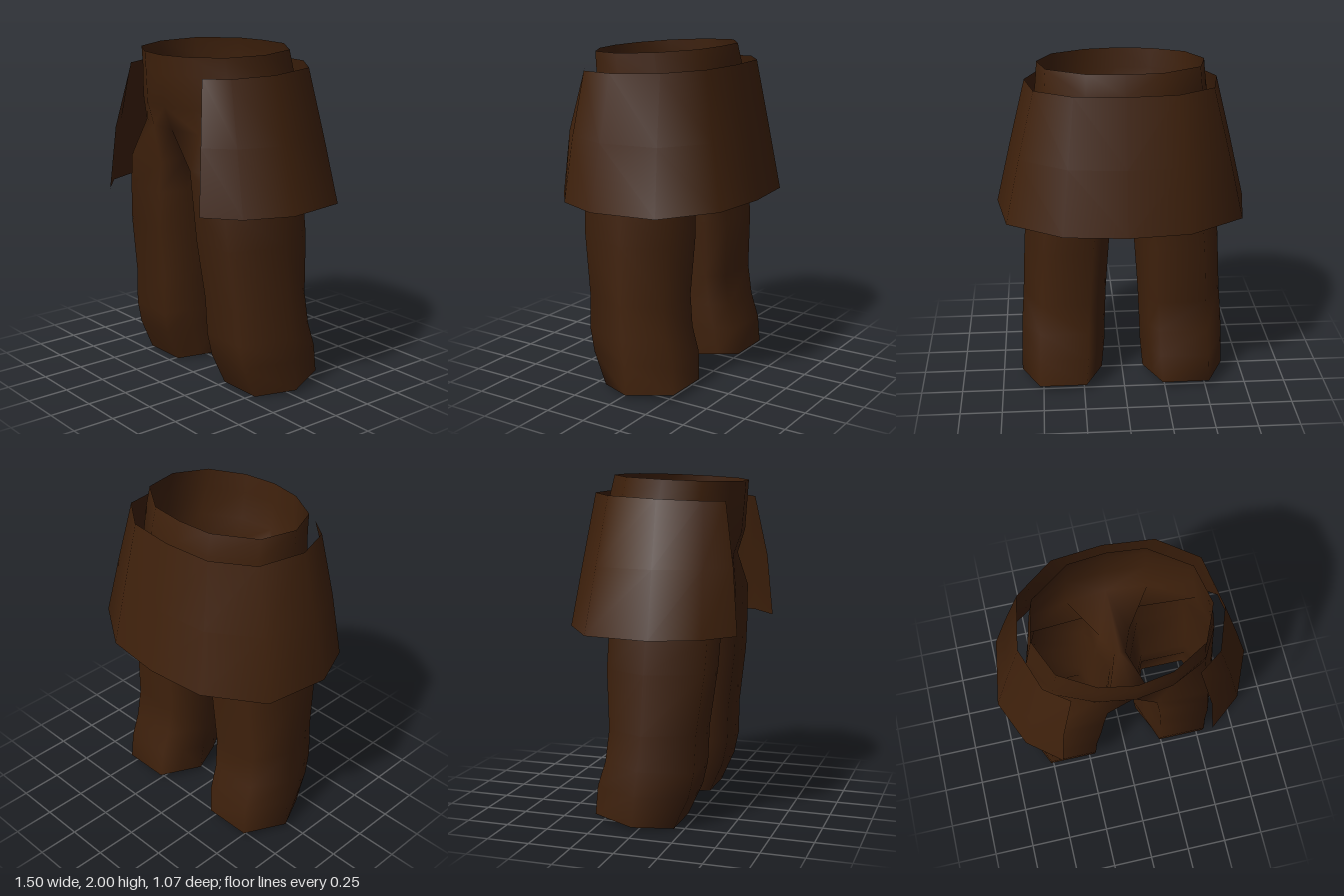
import * as THREE from 'three';
import { mergeVertices } from 'three/addons/utils/BufferGeometryUtils.js';

const cloth = new THREE.MeshStandardMaterial({ color: 0x3f210c, side: THREE.DoubleSide });
cloth.name = 'dark brown cloth';

// Skins rows of points (top to bottom, front to back around the left side) and mirrors them in x.
// closedFrom: first row whose points form a full loop; openCount: points used by the rows above it.
function mirroredSkin(name, rows, openCount, closedFrom = Infinity) {
  const pos = [];
  const tri = (a, b, c) => {
    for (const p of [a, b, c]) pos.push(p[0], p[1], p[2]);
    for (const p of [c, b, a]) pos.push(p[0] === 0 ? 0 : -p[0], p[1], p[2]);
  };
  for (let r = 0; r < rows.length - 1; r++) {
    const a = rows[r], b = rows[r + 1];
    const n = r >= closedFrom ? a.length : openCount - 1;
    for (let i = 0; i < n; i++) {
      const j = (i + 1) % a.length;
      tri(a[i], b[i], b[j]);
      tri(a[i], b[j], a[j]);
    }
  }
  let geo = new THREE.BufferGeometry();
  geo.setAttribute('position', new THREE.Float32BufferAttribute(pos, 3));
  geo = mergeVertices(geo);
  geo.computeVertexNormals();
  const mesh = new THREE.Mesh(geo, cloth);
  mesh.name = name;
  return mesh;
}

// Half waist outline, centre front to centre back: x, z
const waist = [[0, 0.463], [0.2, 0.43], [0.4, 0.315], [0.49, 0.11], [0.44, -0.115], [0.215, -0.27], [0, -0.29]];

// Waist outline fitted to a half width, depth and height range
function hipRow(halfWidth, zFront, zBack, yFront, yBack) {
  return waist.map(([x, z]) => {
    const t = (0.463 - z) / 0.753;
    return [x / 0.49 * halfWidth, yFront + (yBack - yFront) * t, zFront + (zBack - zFront) * t];
  });
}

// Six-sided loop for one leg; two extra points halve the inner edges to meet the hips
function legRow(xIn, xOut, zFront, zMid, zBack, yFront, yBack, yIn = (yFront + yBack) / 2) {
  const x1 = xIn + (xOut - xIn) * 0.21, x2 = xIn + (xOut - xIn) * 0.78;
  const inner = [xIn, yIn, zMid];
  const frontInner = [x1, yFront, zFront], backInner = [x1, yBack, zBack];
  const halfway = (a, b) => a.map((v, i) => (v + b[i]) / 2);
  return [
    halfway(inner, frontInner),
    frontInner,
    [x2, yFront, zFront],
    [xOut, (yFront + yBack) / 2, zMid],
    [x2, yBack, zBack],
    backInner,
    halfway(inner, backInner),
    inner,
  ];
}

function trousers() {
  // Row where the legs part, with the crotch point on x = 0
  const saddle = hipRow(0.545, 0.39, -0.3, 1.53, 1.48);
  saddle.push([0, 1.378, 0.05]);
  const rows = [
    hipRow(0.49, 0.463, -0.29, 1.965, 2.0),
    hipRow(0.5, 0.455, -0.32, 1.85, 1.88),
    hipRow(0.525, 0.44, -0.33, 1.67, 1.68),
    saddle,
    legRow(0.034, 0.56, 0.37, 0.05, -0.24, 1.31, 1.3, 1.37),
    legRow(0.06, 0.574, 0.367, 0.04, -0.22, 1.12, 1.12),
    legRow(0.075, 0.593, 0.355, 0.03, -0.228, 0.9, 0.9),
    legRow(0.1, 0.61, 0.312, 0.02, -0.21, 0.55, 0.55),
    legRow(0.108, 0.625, 0.305, 0.0, -0.23, 0.33, 0.36),
    legRow(0.113, 0.63, 0.275, -0.02, -0.277, 0.19, 0.21),
    legRow(0.13, 0.633, 0.19, -0.03, -0.29, 0, 0.04),
  ];
  return mirroredSkin('trousers', rows, 7, 3);
}

function skirt() {
  // Half outlines from the front opening to centre back: x, z
  const top = [[0.347, 0.435], [0.48, 0.34], [0.565, 0.1], [0.51, -0.2], [0.29, -0.36], [0, -0.388]];
  const middle = [[0.418, 0.5], [0.565, 0.365], [0.66, 0.105], [0.605, -0.24], [0.328, -0.43], [0, -0.463]];
  const hem = [[0.445, 0.533], [0.635, 0.38], [0.75, 0.11], [0.687, -0.28], [0.362, -0.495], [0, -0.533]];
  const rows = [
    top.map(([x, z]) => [x, 1.882 - 0.045 * z, z]),
    middle.map(([x, z]) => [x, 1.5, z]),
    hem.map(([x, z]) => [x, 1.122, z]),
  ];
  return mirroredSkin('skirt', rows, 6);
}

export function createModel() {
  const group = new THREE.Group();
  group.name = 'trousersWithSkirt';
  group.add(trousers(), skirt());
  return group;
}
